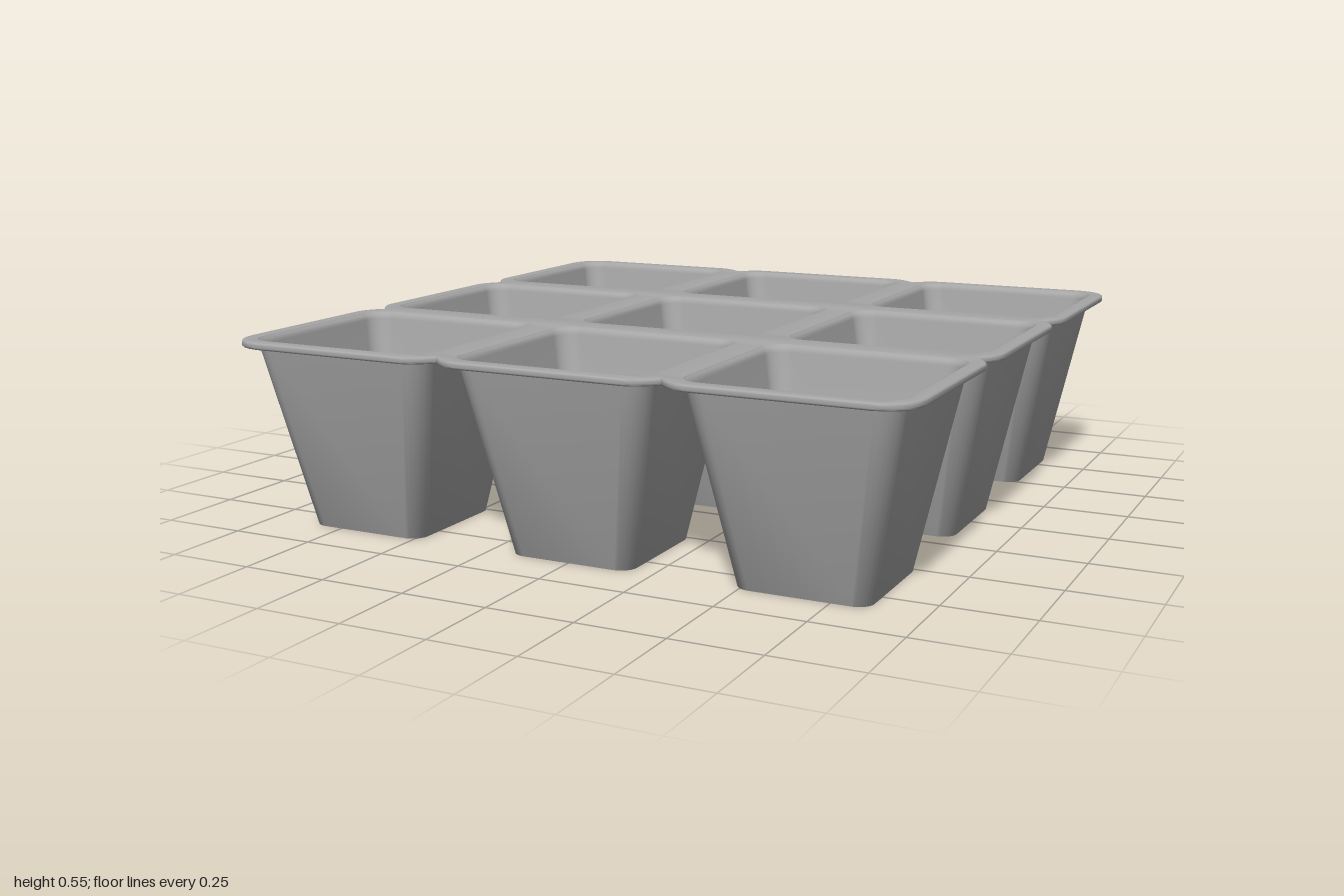
import * as THREE from 'three';
import { toCreasedNormals } from 'three/addons/utils/BufferGeometryUtils.js';

const PITCH = 2 / 3, TOP = 0.55, UNDER = 0.53, SEG = 6;

// Ring of plan points: a rounded square, or a circle when half === radius
function ring(half, radius) {
  const pts = [], count = 4 * (SEG + 1);
  for (let k = 0; k < 4; k++) {
    const mid = (k + 0.5) * Math.PI / 2;
    for (let s = 0; s <= SEG; s++) {
      const round = half === radius;
      const a = round ? (k * (SEG + 1) + s + 0.5) / count * Math.PI * 2 : (k + s / SEG) * Math.PI / 2;
      const c = half - radius;
      pts.push([
        Math.sign(Math.cos(mid)) * c + radius * Math.cos(a),
        Math.sign(Math.sin(mid)) * c + radius * Math.sin(a),
      ]);
    }
  }
  return pts;
}

// Thin-walled pot: outside down, through the drain hole, up the inside
function potGeometry() {
  const profile = [ // half width, corner radius, height
    [0.294, 0.068, UNDER], [0.287, 0.062, 0.524], [0.185, 0.045, 0],
    [0.057, 0.057, 0], [0.057, 0.057, 0.014],
    [0.174, 0.04, 0.014], [0.276, 0.055, 0.53], [0.281, 0.058, 0.543], [0.294, 0.068, TOP],
  ];
  const n = 4 * (SEG + 1), pos = [], index = [];
  for (const [half, radius, y] of profile)
    for (const [x, z] of ring(half, radius)) pos.push(x, y, z);
  for (let i = 0; i < profile.length - 1; i++) {
    for (let j = 0; j < n; j++) {
      const a = i * n + j, b = i * n + (j + 1) % n;
      index.push(a, b, a + n, b, b + n, a + n);
    }
  }
  const geo = new THREE.BufferGeometry();
  geo.setAttribute('position', new THREE.Float32BufferAttribute(pos, 3));
  geo.setIndex(index);
  geo.computeVertexNormals();
  return geo;
}

// Rim plate: scalloped outline with nine pot openings
function rimGeometry() {
  const shape = new THREE.Shape();
  const turn = (k, x, y) => {
    const c = [1, 0, -1, 0][k], s = [0, 1, 0, -1][k];
    return [c * x - s * y, s * x + c * y];
  };
  shape.moveTo(1, -0.9);
  for (let k = 0; k < 4; k++) {
    for (const m of [-1 / 3, 1 / 3]) { // notch between neighbouring cells
      shape.lineTo(...turn(k, 1, m - 0.085));
      shape.quadraticCurveTo(...turn(k, 0.995, m - 0.04), ...turn(k, 0.95, m));
      shape.quadraticCurveTo(...turn(k, 0.995, m + 0.04), ...turn(k, 1, m + 0.085));
    }
    shape.lineTo(...turn(k, 1, 0.9));
    shape.quadraticCurveTo(...turn(k, 0.99, 0.99), ...turn(k, 0.9, 1));
  }
  for (let i = -1; i <= 1; i++)
    for (let j = -1; j <= 1; j++)
      shape.holes.push(new THREE.Path(ring(0.288, 0.062)
        .map(([x, y]) => new THREE.Vector2(x + i * PITCH, y + j * PITCH)).reverse()));

  const bevel = 0.006;
  const geo = new THREE.ExtrudeGeometry(shape, {
    depth: TOP - UNDER - 2 * bevel, curveSegments: 6, bevelEnabled: true,
    bevelThickness: bevel, bevelSize: bevel, bevelOffset: -bevel, bevelSegments: 3,
  });
  geo.rotateX(-Math.PI / 2);
  geo.translate(0, UNDER + bevel, 0);
  return toCreasedNormals(geo, 0.6);
}

export function createModel() {
  const model = new THREE.Group();
  model.name = 'seedlingTray';
  const plastic = new THREE.MeshStandardMaterial({ color: 0xa6a6a6 });
  plastic.name = 'greyPlastic';

  const rim = new THREE.Mesh(rimGeometry(), plastic);
  rim.name = 'rim';
  model.add(rim);

  // Three by three pots
  const geo = potGeometry();
  for (let i = -1; i <= 1; i++) {
    for (let j = -1; j <= 1; j++) {
      const pot = new THREE.Mesh(geo, plastic);
      pot.name = 'pot';
      pot.position.set(i * PITCH, 0, j * PITCH);
      model.add(pot);
    }
  }
  return model;
}
